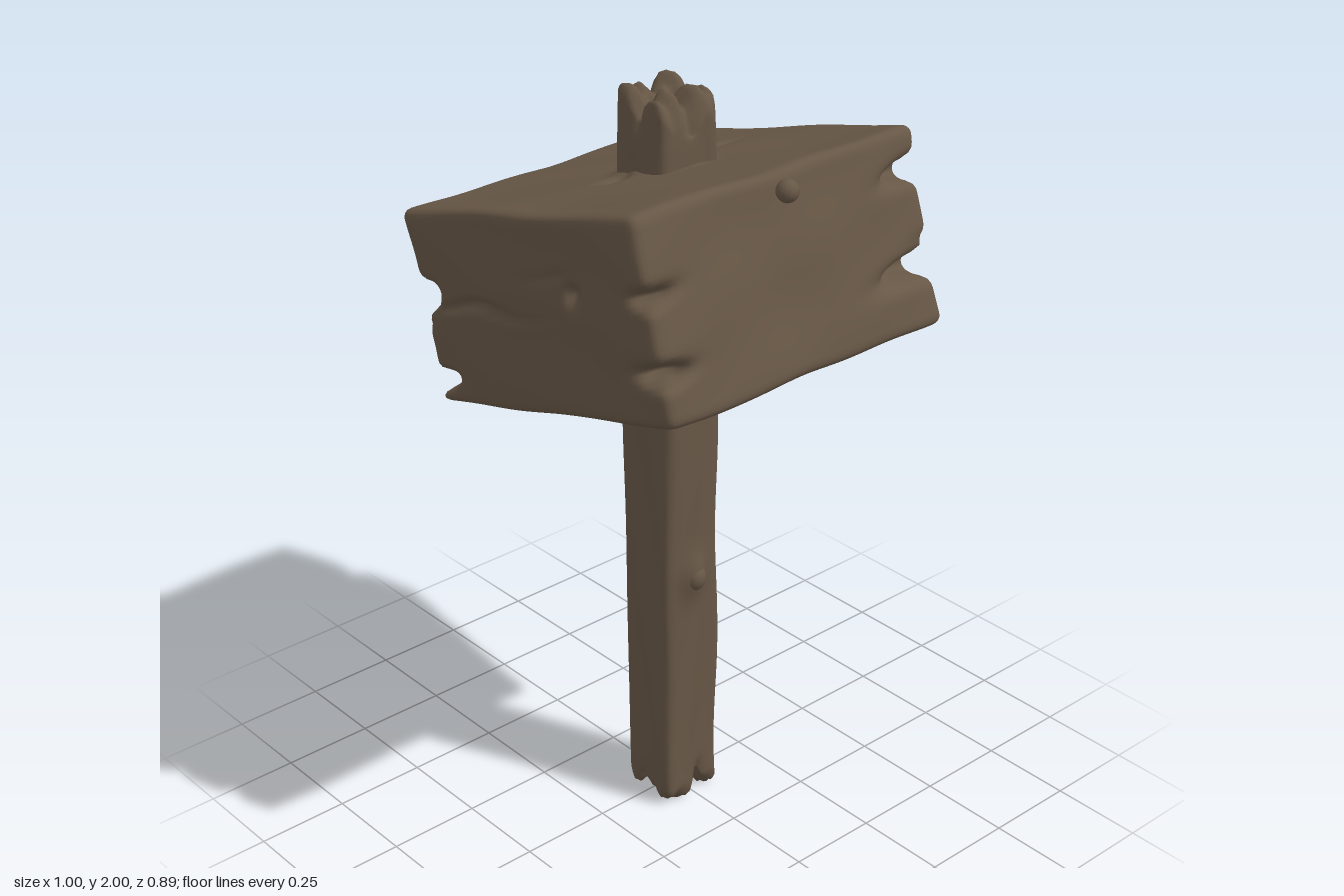
import * as THREE from 'three';
import { mergeVertices } from 'three/addons/utils/BufferGeometryUtils.js';

const wood = new THREE.MeshStandardMaterial({ color: 0x675746 });
wood.name = 'weathered brown wood';

// Evenly divided box with rounded edges, reshaped by a rule and smoothly shaded
function carvedBox(w, h, d, radius, segs, rule) {
  const geo = new THREE.BoxGeometry(w, h, d, ...segs);
  const pos = geo.attributes.position;
  const half = new THREE.Vector3(w / 2 - radius, h / 2 - radius, d / 2 - radius);
  const p = new THREE.Vector3(), core = new THREE.Vector3();
  for (let i = 0; i < pos.count; i++) {
    p.fromBufferAttribute(pos, i);
    core.copy(p).clamp(half.clone().negate(), half);
    p.sub(core).setLength(radius).add(core);
    rule(p);
    pos.setXYZ(i, p.x, p.y, p.z);
  }
  geo.deleteAttribute('normal');
  geo.deleteAttribute('uv');
  const merged = mergeVertices(geo, 1e-5);
  merged.computeVertexNormals();
  return merged;
}

const bell = (v, width) => Math.exp(-((v / width) ** 2));
const wobble = (a, b) => Math.sin(a * 9 + Math.sin(b * 7) * 1.3) * Math.sin(b * 11 + a * 4);

// Notches in the head: centre x y z, reach x y z, depth towards the middle
const notches = [
  [-0.25, 0.0, 0.44, 0.2, 0.012, 0.06, 0.02],
  [0.18, 0.05, 0.44, 0.025, 0.025, 0.04, 0.03],
  [-0.45, 0.04, 0.44, 0.05, 0.03, 0.08, 0.07],
  [-0.45, -0.18, 0.44, 0.06, 0.022, 0.08, 0.07],
  [0.45, -0.11, 0.44, 0.07, 0.022, 0.07, 0.07],
  [0.45, 0.07, 0.44, 0.05, 0.02, 0.07, 0.05],
  [0.45, -0.1, -0.44, 0.06, 0.028, 0.13, 0.09],
  [0.45, 0.13, -0.44, 0.05, 0.025, 0.09, 0.07],
  [-0.45, -0.03, -0.44, 0.08, 0.025, 0.08, 0.07],
  [0, -0.04, -0.44, 0.4, 0.016, 0.06, 0.035],
  [-0.45, -0.03, 0, 0.06, 0.016, 0.35, 0.03],
  [0.1, 0.1, 0.44, 0.1, 0.012, 0.05, 0.008],
];

function shapeHead(p) {
  const { x, y, z } = p;
  let pull = 0;
  for (const [cx, cy, cz, rx, ry, rz, depth] of notches) {
    const bend = 0.012 * Math.sin(x * 14 + z * 11);
    pull += depth * bell(x - cx, rx) * bell(y - cy - bend, ry) * bell(z - cz, rz);
  }
  const side = Math.min(pull, 0.1) / 0.45 + 0.008 * wobble(y * 2, x + z);
  p.x *= 1 - side;
  p.z *= 1 - side;
  p.y += 0.005 * wobble(x, z) * Math.sign(y);
  // Splits in the top running out from the post
  if (y > 0.2) {
    p.y -= 0.02 * bell(x + 0.01, 0.018) * bell(z + 0.19, 0.09);
    p.y -= 0.015 * bell(x - 0.03, 0.02) * bell(z - 0.13, 0.05);
    p.y += 0.02 * bell(Math.hypot(x - 0.04, z) - 0.08, 0.03);
  }
}

function shapePost(p) {
  const { x, y, z } = p;
  // Splintered ends
  const top = THREE.MathUtils.smoothstep(y, 0.86, 1);
  const foot = THREE.MathUtils.smoothstep(-y, 0.86, 1);
  const cross = Math.max(bell(x + 0.003, 0.02), 0.8 * bell(z, 0.018));
  p.y -= top * (0.055 * cross + 0.045 * bell(x - 0.095, 0.02)
    + 0.018 * (1 + Math.sin(z * 95 + x * 40)) * bell(Math.abs(z) - 0.05, 0.04));
  p.y += foot * (0.07 * bell(z + 0.015, 0.016) + 0.035 * bell(x + 0.02, 0.02)
    + 0.014 * (1 + Math.sin(x * 130 + z * 60)));
  // Grooves rising from the split ends
  const groove = 1 - 0.18 * top * cross - 0.14 * foot * Math.max(bell(z + 0.015, 0.02), bell(x, 0.02));
  // Uneven hewn sides and a slight lean
  p.x = x * groove + 0.006 * wobble(y * 0.8, z * 3) - 0.013 * y;
  p.z = z * groove + 0.006 * wobble(y * 0.7 + 2, x * 3) + 0.007;
  // Knot swelling
  if (x > 0.05) p.x += 0.02 * bell(y + 0.3, 0.055) * bell(z, 0.04);
}

function add(parent, name, geometry, x, y, z) {
  const mesh = new THREE.Mesh(geometry, wood);
  mesh.name = name;
  mesh.position.set(x, y, z);
  parent.add(mesh);
  return mesh;
}

export function createModel() {
  const model = new THREE.Group();
  model.name = 'woodenMallet';

  add(model, 'post', carvedBox(0.18, 2, 0.18, 0.025, [16, 110, 16], shapePost), 0, 1, 0);

  // Tilted block at the top of the post
  const head = add(model, 'head',
    carvedBox(0.905, 0.495, 0.885, 0.025, [64, 44, 64], shapeHead), -0.005, 1.53, 0);
  head.rotation.z = THREE.MathUtils.degToRad(16);

  // Peg in the raised end
  const peg = add(model, 'peg', new THREE.SphereGeometry(0.028, 16, 12), 0.395, 1.847, 0);
  peg.rotation.z = head.rotation.z;

  // Knot on the post
  add(model, 'knot', new THREE.SphereGeometry(0.03, 16, 12), 0.098, 0.69, 0.007).scale.set(0.9, 1.2, 1);

  return model;
}
